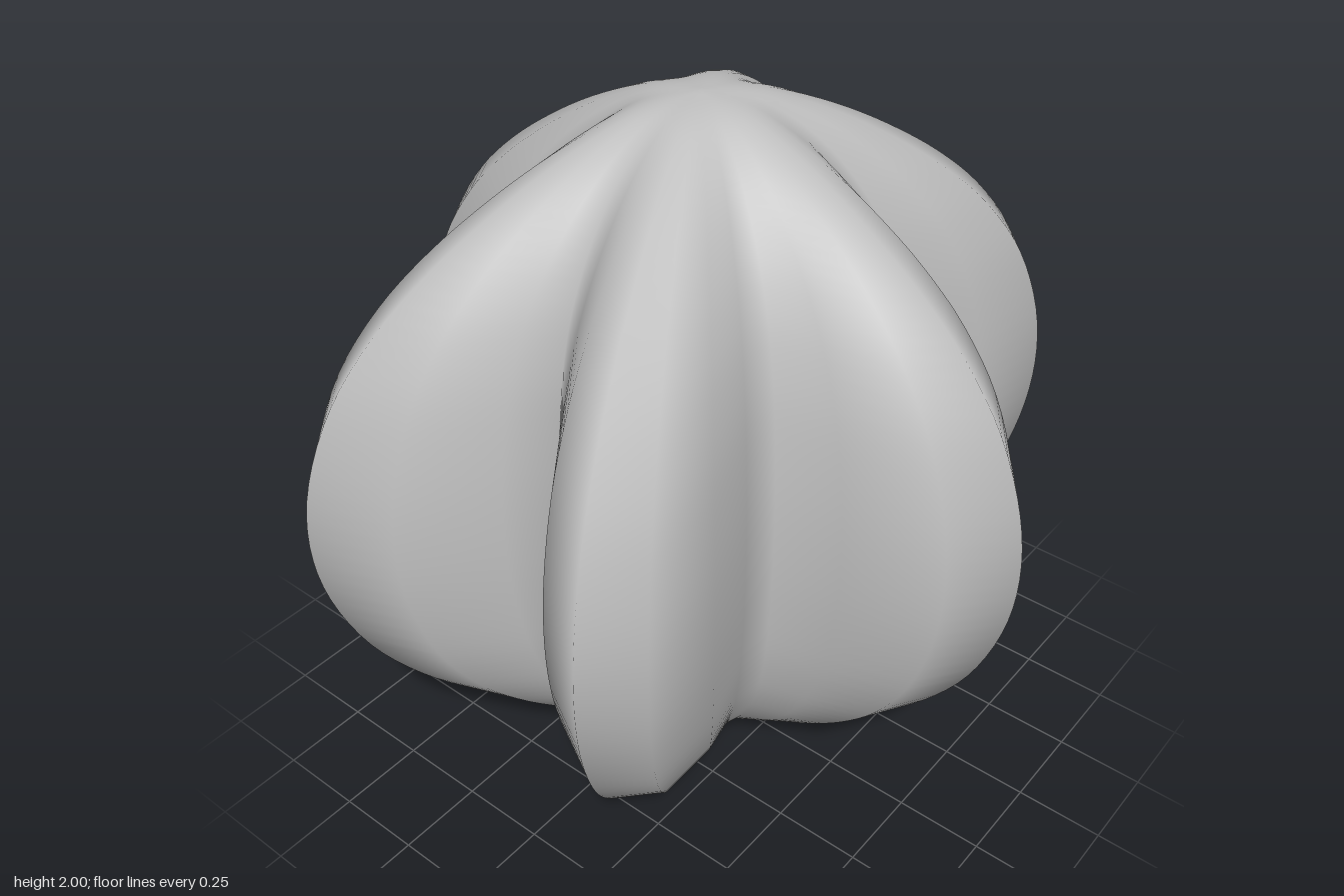
import * as THREE from 'three';
import { mergeVertices } from 'three/addons/utils/BufferGeometryUtils.js';

const LOBES = 6;
const SEGMENTS = 40;
const DEPTH_STRETCH = 1.137;

export function createModel() {
  const group = new THREE.Group();
  group.name = 'lobedBody';

  const grey = new THREE.MeshStandardMaterial({ color: 0xc0c0c0 });
  grey.name = 'plain grey';

  // Upper half of the ridge profile (radius, height above the middle), mirrored below
  const upper = [
    [1, 0], [0.976, 0.19], [0.9, 0.388], [0.785, 0.552], [0.65, 0.683],
    [0.5, 0.795], [0.35, 0.887], [0.2, 0.959], [0.1, 0.989], [0, 1],
  ];
  const lower = upper.slice(1).reverse().map(([r, h]) => [r, -h]);
  const profile = new THREE.SplineCurve(
    [...lower, ...upper].map(([r, h]) => new THREE.Vector2(r, h + 1)),
  ).getPoints(72);
  profile[0].set(0, 0);
  profile[profile.length - 1].set(0, 2);

  // Revolve the profile, then press in six valleys that fade out towards the poles
  let geometry = new THREE.LatheGeometry(profile, SEGMENTS);
  const pos = geometry.attributes.position;
  for (let i = 0; i < pos.count; i++) {
    const x = pos.getX(i);
    const z = pos.getZ(i);
    const h = pos.getY(i) - 1;
    const depth = 0.342 * Math.sqrt(Math.max(0, 1 - h * h));
    const k = (1 + depth * Math.cos(LOBES * Math.atan2(z, x))) / (1 + depth);
    pos.setX(i, x * k);
    pos.setZ(i, z * k * DEPTH_STRETCH);
  }

  // Weld the seam and poles so the shading stays smooth
  geometry.deleteAttribute('uv');
  geometry.deleteAttribute('normal');
  geometry = mergeVertices(geometry, 1e-4);
  geometry.computeVertexNormals();

  const body = new THREE.Mesh(geometry, grey);
  body.name = 'sixLobedShell';
  group.add(body);
  return group;
}
